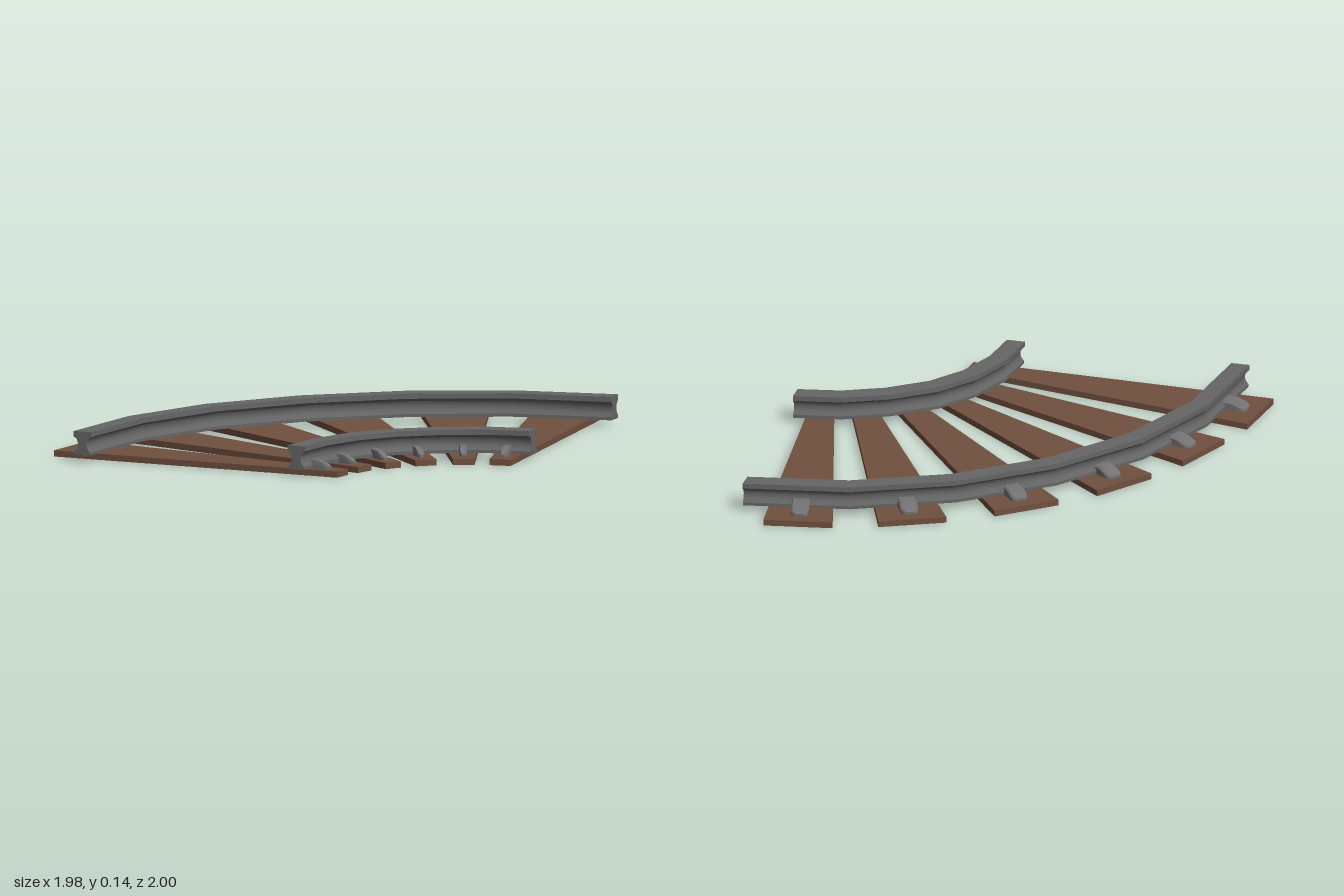
import * as THREE from 'three';
import { toCreasedNormals } from 'three/addons/utils/BufferGeometryUtils.js';

const steel = new THREE.MeshStandardMaterial({ color: 0x666666 });
const clipSteel = new THREE.MeshStandardMaterial({ color: 0x727272 });
const wood = new THREE.MeshStandardMaterial({ color: 0x71503f });
const V2 = (p) => new THREE.Vector2(p[0], p[1]);

// Skin closed cross-sections; each is { p, t, profile }: plan position, plan direction,
// and a counterclockwise outline of [sideways, height] points.
function loft(sections, crease) {
  const pos = [], index = [], n = sections[0].profile.length;
  for (const { p, t, profile } of sections) {
    for (const [u, y] of profile) pos.push(p.x + t.y * u, y, p.y - t.x * u);
  }
  for (let i = 0; i < sections.length - 1; i++) {
    for (let j = 0; j < n; j++) {
      const a = i * n + j, b = i * n + (j + 1) % n;
      index.push(a, b, b + n, a, b + n, a + n);
    }
  }
  const last = (sections.length - 1) * n;
  for (const [a, b, c] of THREE.ShapeUtils.triangulateShape(sections[0].profile.map(V2), [])) {
    index.push(c, b, a, last + a, last + b, last + c);
  }
  const g = new THREE.BufferGeometry();
  g.setAttribute('position', new THREE.Float32BufferAttribute(pos, 3));
  g.setIndex(index);
  return toCreasedNormals(g, crease);
}

// Rail outline: wide head, narrow web, wide foot
const half = [[0.036, 0.03], [0.036, 0.044], [0.023, 0.062], [0.02, 0.082], [0.026, 0.1], [0.041, 0.112], [0.041, 0.135]];
const railProfile = [...half, ...half.map(([u, y]) => [-u, y]).reverse()];

// Rail swept along a plan polyline with mitred bends and square-cut ends
function rail(points) {
  const pts = points.map(V2);
  const sections = pts.map((p, i) => {
    let t;
    if (i === 0) t = new THREE.Vector2(0, -1);
    else if (i === pts.length - 1) t = new THREE.Vector2(1, 0);
    else {
      const a = p.clone().sub(pts[i - 1]).normalize();
      t = pts[i + 1].clone().sub(p).normalize().add(a).normalize();
      t.divideScalar(t.dot(a));
    }
    return { p, t, profile: railProfile };
  });
  return loft(sections, 0.6);
}

// Clip rising from a rounded tip towards the rail
function clip(tip, dir, length, width) {
  const steps = [[0, 0.55, 0.038], [0.09, 0.85, 0.044], [0.22, 1, 0.051], [0.55, 1, 0.065], [1, 1, 0.068]];
  return loft(steps.map(([s, w, h]) => {
    const u = w * width / 2;
    return {
      p: tip.clone().addScaledVector(dir, s * length), t: dir,
      profile: [[-u, 0.024], [u, 0.024], [u, h - 0.008], [u * 0.8, h], [-u * 0.8, h], [-u, h - 0.008]],
    };
  }), 0.5);
}

// Tapered plank from four plan corners [x, z]
function plank(corners) {
  const shape = new THREE.Shape(corners.map(([x, z]) => new THREE.Vector2(x, -z)));
  const g = new THREE.ExtrudeGeometry(shape, { depth: 0.027, bevelEnabled: false });
  return g.rotateX(-Math.PI / 2);
}

export function createModel() {
  const model = new THREE.Group();
  const add = (name, geometry, material) => {
    const mesh = new THREE.Mesh(geometry, material);
    mesh.name = name;
    model.add(mesh);
  };

  // Rails
  add('outerRail', rail([[-0.815, 1], [-0.757, 0.53], [-0.585, 0.1], [-0.302, -0.272],
    [0.066, -0.566], [0.487, -0.757], [0.942, -0.834]]), steel);
  add('innerRail', rail([[0.204, 1], [0.23, 0.794], [0.304, 0.598], [0.423, 0.434],
    [0.598, 0.302], [0.786, 0.217], [0.986, 0.182]]), steel);

  // Sleepers: two outer corners, then two inner corners
  const sleepers = [
    [[-0.952, 0.6], [-0.99, 0.907], [0.386, 0.967], [0.397, 0.876]],
    [[-0.788, 0.124], [-0.9, 0.41], [0.418, 0.812], [0.444, 0.722]],
    [[-0.513, 0.299], [-0.693, 0.05], [0.487, 0.664], [0.534, 0.6]].map(([x, z], i) => [x, i < 2 ? -z : z]),
    [[-0.138, -0.638], [-0.376, -0.442], [0.577, 0.542], [0.651, 0.479]],
    [[0.323, -0.886], [0.048, -0.759], [0.714, 0.442], [0.799, 0.4]],
    [[0.815, -0.998], [0.513, -0.95], [0.862, 0.384], [0.957, 0.368]],
  ];
  for (const c of sleepers) {
    add('sleeper', plank(c), wood);
    const outer = V2(c[0]).add(V2(c[1])).multiplyScalar(0.5);
    const inner = V2(c[2]).add(V2(c[3])).multiplyScalar(0.5);
    const dir = inner.clone().sub(outer).normalize();
    // Clips outside the outer rail and inside the inner rail
    add('outerClip', clip(outer.clone().addScaledVector(dir, 0.056), dir, 0.12, 0.08), clipSteel);
    const back = dir.clone().negate();
    add('innerClip', clip(inner.clone().addScaledVector(back, 0.06), back, 0.105, 0.033), clipSteel);
  }
  return model;
}
